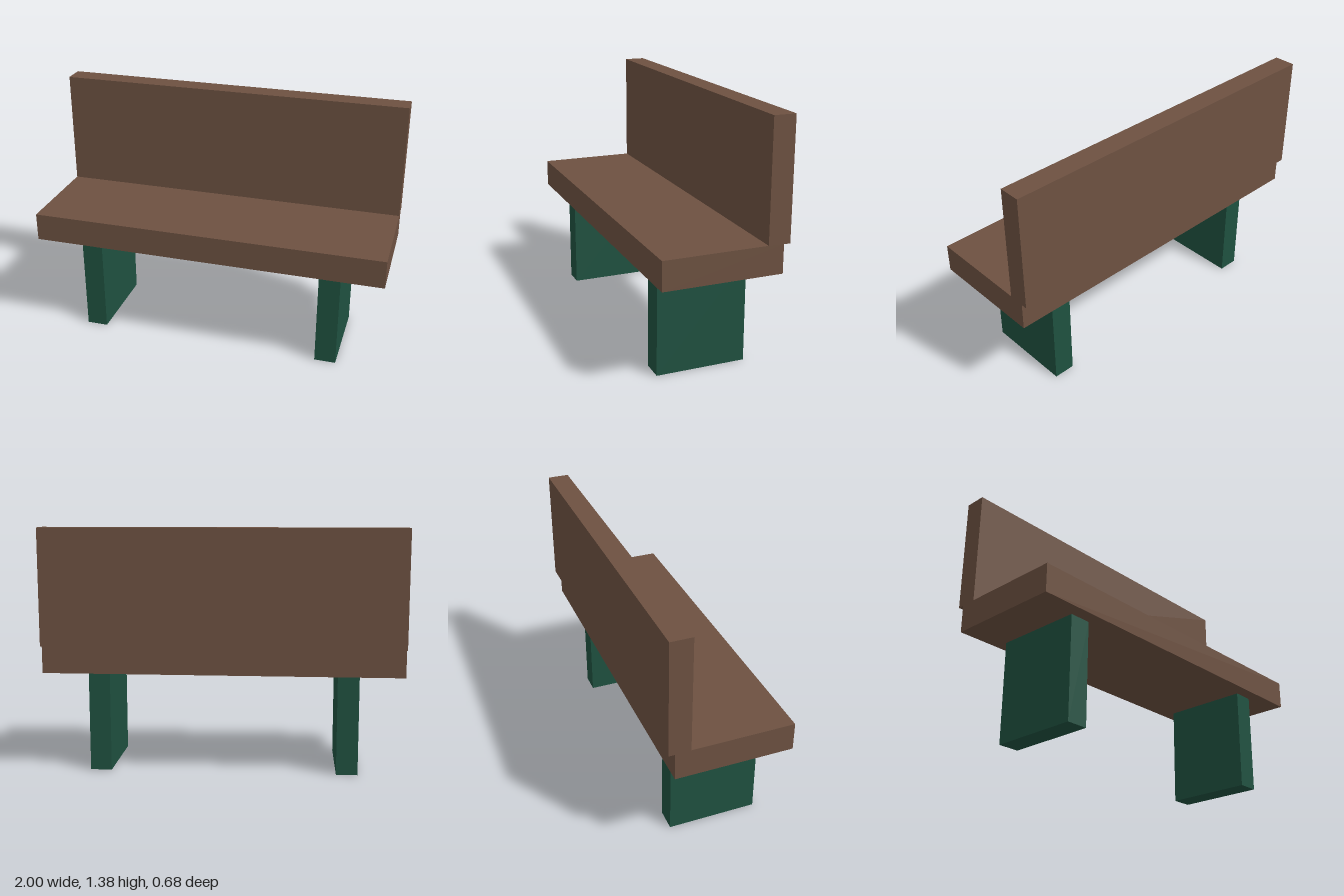
import * as THREE from 'three';

export function createModel() {
  const bench = new THREE.Group();
  bench.name = 'bench';
  const wood = new THREE.MeshStandardMaterial({ color: 0x6d5141 });
  wood.name = 'brown wood';
  const paint = new THREE.MeshStandardMaterial({ color: 0x1f5140 });
  paint.name = 'green paint';

  // Box given by its lower and upper corners
  const block = (name, material, [x0, y0, z0], [x1, y1, z1]) => {
    const mesh = new THREE.Mesh(new THREE.BoxGeometry(x1 - x0, y1 - y0, z1 - z0), material);
    mesh.position.set((x0 + x1) / 2, (y0 + y1) / 2, (z0 + z1) / 2);
    mesh.name = name;
    bench.add(mesh);
  };

  // Thick seat, and a backrest that overhangs its rear edge
  block('seat', wood, [-1, 0.572, -0.307], [1, 0.73, 0.342]);
  block('backrest', wood, [-1, 0.727, -0.342], [1, 1.377, -0.222]);

  // Slab legs, mirrored left and right
  for (const [name, side] of [['leftLeg', 1], ['rightLeg', -1]]) {
    const x = side * 0.697;
    block(name, paint, [x - 0.06, 0, -0.231], [x + 0.06, 0.572, 0.268]);
  }
  return bench;
}
